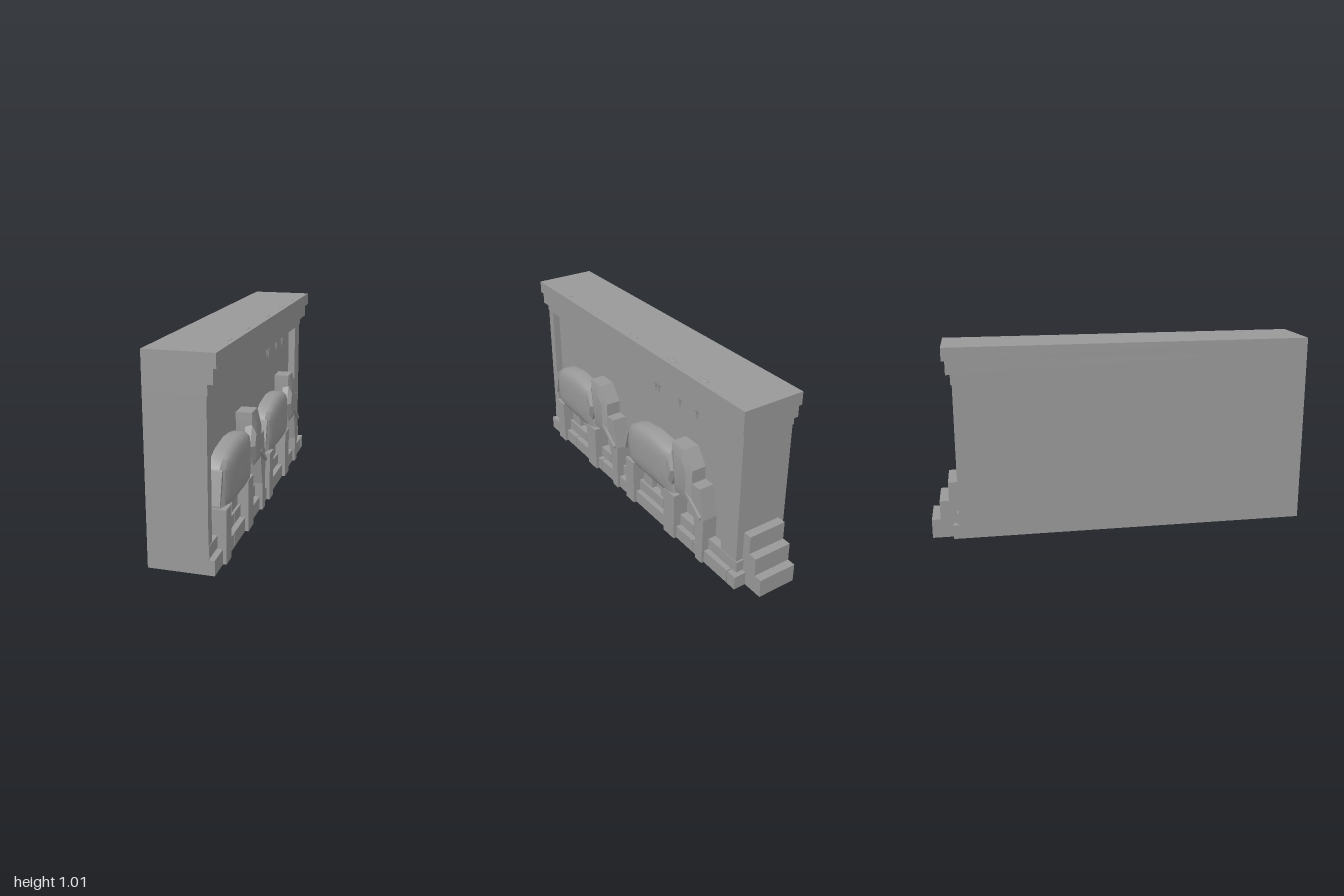
import * as THREE from 'three';
import { toCreasedNormals } from 'three/addons/utils/BufferGeometryUtils.js';

const stone = new THREE.MeshStandardMaterial({ color: 0x999999 });
stone.name = 'grey stone';
const PANEL = 0.07; // x of the recessed panel

function add(parent, name, geometry) {
  const mesh = new THREE.Mesh(geometry, stone);
  mesh.name = name;
  parent.add(mesh);
  return mesh;
}

// Box given by its extents
function box(parent, name, x0, x1, y0, y1, z0, z1) {
  const mesh = add(parent, name, new THREE.BoxGeometry(x1 - x0, y1 - y0, z1 - z0));
  mesh.position.set((x0 + x1) / 2, (y0 + y1) / 2, (z0 + z1) / 2);
}

// Outline in [forward, height], extruded out from the wall (forward is -z)
function slab(parent, name, outline, x0, x1) {
  const shape = new THREE.Shape(outline.map(([f, y]) => new THREE.Vector2(f, y)));
  const g = new THREE.ExtrudeGeometry(shape, { depth: x1 - x0, bevelEnabled: false });
  g.rotateY(Math.PI / 2);
  g.translate(x0, 0, 0);
  add(parent, name, g);
}

// Counter-clockwise outline rising from the wall in shrinking rings [x, scale]
function relief(parent, name, outline, rings, crease) {
  const n = outline.length;
  const cf = outline.reduce((s, p) => s + p[0], 0) / n;
  const cy = outline.reduce((s, p) => s + p[1], 0) / n;
  const pos = [], index = [];
  for (const [x, s] of rings) {
    for (const [f, y] of outline) pos.push(x, cy + (y - cy) * s, -(cf + (f - cf) * s));
  }
  const apex = pos.length / 3;
  pos.push(rings[rings.length - 1][0], cy, -cf);
  for (let r = 0; r < rings.length; r++) {
    for (let i = 0; i < n; i++) {
      const a = r * n + i, b = r * n + (i + 1) % n;
      if (r === rings.length - 1) index.push(a, b, apex);
      else index.push(a, b, b + n, a, b + n, a + n);
    }
  }
  const g = new THREE.BufferGeometry();
  g.setAttribute('position', new THREE.Float32BufferAttribute(pos, 3));
  g.setIndex(index);
  add(parent, name, toCreasedNormals(g, crease));
}

function elephant(z) {
  const e = new THREE.Group();
  e.name = 'elephant';
  relief(e, 'body', [
    [-0.23, 0.27], [-0.13, 0.25], [0, 0.245], [0.13, 0.245], [0.22, 0.25], [0.23, 0.38], [0.22, 0.49],
    [0.18, 0.51], [0.1, 0.525], [0, 0.533], [-0.13, 0.515], [-0.19, 0.49], [-0.23, 0.455], [-0.235, 0.36],
  ], [[PANEL, 1], [0.125, 1], [0.145, 0.92], [0.158, 0.75], [0.164, 0.5], [0.166, 0.25]], 0.65);
  relief(e, 'head', [
    [0.245, 0.31], [0.385, 0.31], [0.385, 0.505], [0.32, 0.595], [0.215, 0.595], [0.215, 0.45],
  ], [[PANEL, 1], [0.152, 1], [0.167, 0.6]], 0.3);
  relief(e, 'ear', [
    [0.17, 0.435], [0.215, 0.33], [0.25, 0.435], [0.21, 0.535],
  ], [[0.12, 0.9], [0.155, 1], [0.177, 0.6]], 0.3);
  slab(e, 'trunk', [
    [0.34, 0.43], [0.385, 0.33], [0.4, 0.26], [0.425, 0.15], [0.43, 0],
    [0.482, 0], [0.487, 0.268], [0.45, 0.435],
  ], PANEL, 0.153);
  slab(e, 'tusk', [[0.335, 0.36], [0.47, 0.265], [0.47, 0.28], [0.355, 0.365]], 0.13, 0.167);
  slab(e, 'tail', [[-0.275, 0.3], [-0.26, 0.3], [-0.225, 0.42], [-0.23, 0.455], [-0.24, 0.45]], PANEL, 0.14);
  // Near legs stand proud, far legs stay close to the panel
  for (const [name, f0, f1, x1, top] of [
    ['nearHindLeg', -0.23, -0.15, 0.155, 0.265], ['nearForeLeg', 0.145, 0.24, 0.155, 0.27],
    ['farHindLeg', -0.13, -0.045, 0.1, 0.25], ['farForeLeg', 0.04, 0.135, 0.1, 0.25],
  ]) box(e, name, PANEL, x1, 0, top, -f1, -f0);
  e.position.z = z;
  return e;
}

export function createModel() {
  const model = new THREE.Group();
  model.name = 'carvedWall';

  // Wall with raised frame around the panel
  box(model, 'wall', -0.18, PANEL, 0, 0.83, -0.86, 1);
  box(model, 'frontPilaster', PANEL, 0.11, 0, 0.83, 0.95, 1);
  box(model, 'backPilaster', PANEL, 0.11, 0, 0.83, -0.86, -0.74);

  // Stepped cornice
  box(model, 'frieze', -0.18, 0.114, 0.82, 0.87, -0.867, 1);
  box(model, 'lowerCornice', -0.18, 0.14, 0.87, 0.94, -0.89, 1);
  box(model, 'upperCornice', -0.18, 0.154, 0.94, 1.007, -0.907, 1);

  // Two courses of plinth blocks with open joints
  const course = (name, x1, y0, y1, joints) => {
    for (let i = 0; i + 1 < joints.length; i++) {
      box(model, name, PANEL - 0.01, x1, y0, y1, joints[i] + 0.003, joints[i + 1] - 0.003);
    }
  };
  course('lowerPlinthBlock', 0.138, 0, 0.074, [-0.893, -0.83, -0.55, -0.29, 0.02, 0.37, 0.69, 1.003]);
  course('upperPlinthBlock', 0.113, 0.08, 0.14, [-0.873, -0.52, -0.24, 0.06, 0.3, 0.6, 0.8, 1.003]);
  box(model, 'lowerPlinthEnd', -0.18, 0.1, 0, 0.074, -0.89, -0.8);
  box(model, 'upperPlinthEnd', -0.18, 0.1, 0.08, 0.14, -0.868, -0.8);

  // Steps against the end of the wall
  [-1, -0.955, -0.907].forEach((z, i) => box(model, 'step', -0.145, 0.07, i * 0.1, (i + 1) * 0.1, z, -0.85));

  for (const z of [0.648, -0.161]) model.add(elephant(z));

  // Small spikes hanging under the frieze
  for (const z of [-0.13, -0.16, -0.342, -0.484]) {
    const spike = add(model, 'hangingSpike', new THREE.ConeGeometry(0.013, 0.08, 5));
    spike.rotation.x = Math.PI;
    spike.position.set(0.085, 0.782, z);
  }
  // Worn bumps along the top edge
  for (const z of [0.71, 0.41, 0.02, -0.32, -0.57]) {
    const bump = add(model, 'topBump', new THREE.SphereGeometry(1, 8, 6));
    bump.scale.set(0.014, 0.004, 0.036);
    bump.position.set(0.12, 1.007, z);
  }
  return model;
}
